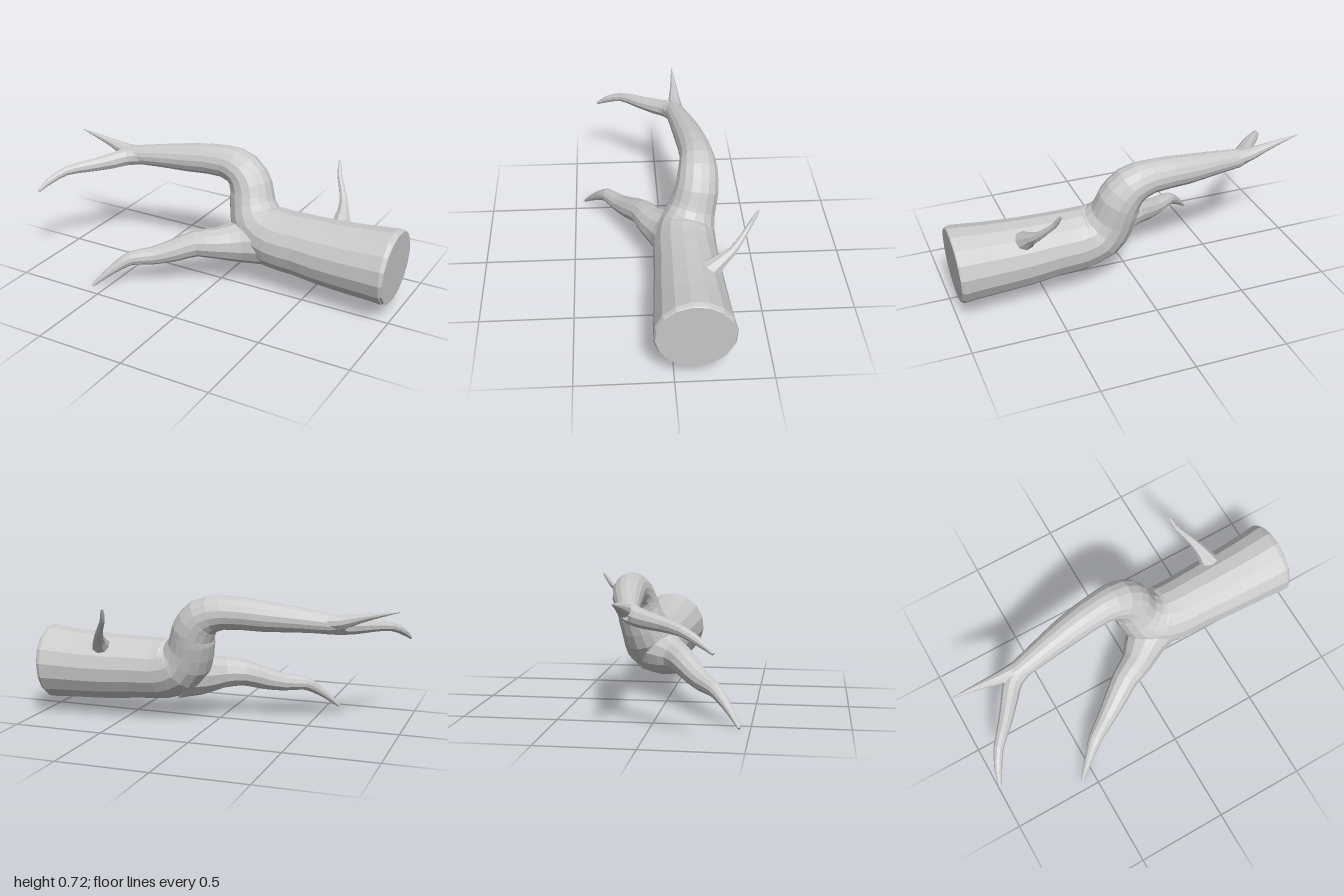
import * as THREE from 'three';

const material = new THREE.MeshStandardMaterial({ color: 0xcccccc, flatShading: true });

// Sweeps a closed tapering limb through stations [x, y, z, radius].
function limb(name, stations, sides, sub = 2) {
  const curve = new THREE.CatmullRomCurve3(stations.map(([x, y, z]) => new THREE.Vector3(x, y, z)));
  const steps = (stations.length - 1) * sub;
  const pos = [], index = [];
  const normal = new THREE.Vector3(0, 0.3, 1), binormal = new THREE.Vector3();
  for (let i = 0; i <= steps; i++) {
    const p = curve.getPoint(i / steps), t = curve.getTangent(i / steps);
    normal.addScaledVector(t, -normal.dot(t)).normalize(); // carry the frame along without twist
    binormal.crossVectors(t, normal);
    const k = Math.min(Math.floor(i / sub), stations.length - 2);
    const r = THREE.MathUtils.lerp(stations[k][3], stations[k + 1][3], i / sub - k);
    for (let j = 0; j < sides; j++) {
      const a = (j / sides) * Math.PI * 2;
      const v = p.clone().addScaledVector(normal, r * Math.cos(a)).addScaledVector(binormal, r * Math.sin(a));
      pos.push(v.x, v.y, v.z);
    }
  }
  const first = (steps + 1) * sides, last = first + 1, end = steps * sides;
  pos.push(...curve.getPoint(0).toArray(), ...curve.getPoint(1).toArray());
  for (let j = 0; j < sides; j++) {
    const n = (j + 1) % sides;
    for (let i = 0; i < steps; i++) {
      const a = i * sides + j, b = i * sides + n;
      index.push(a, b, a + sides, b, b + sides, a + sides);
    }
    index.push(first, n, j, last, end + j, end + n);
  }
  const geometry = new THREE.BufferGeometry();
  geometry.setAttribute('position', new THREE.Float32BufferAttribute(pos, 3));
  geometry.setIndex(index);
  geometry.computeVertexNormals();
  const mesh = new THREE.Mesh(geometry, material);
  mesh.name = name;
  return mesh;
}

export function createModel() {
  const group = new THREE.Group();
  group.name = 'branch';

  // Thick sawn trunk that bends upward, then runs out to the fork
  group.add(limb('trunk', [
    [0.985, 0.278, -0.102, 0.198], [0.965, 0.279, -0.102, 0.208], [0.8, 0.274, -0.1, 0.195],
    [0.6, 0.273, -0.1, 0.184], [0.45, 0.28, -0.1, 0.174], [0.3, 0.285, -0.1, 0.17],
    [0.18, 0.325, -0.115, 0.158], [0.115, 0.42, -0.15, 0.13], [0.09, 0.52, -0.175, 0.12],
    [0.03, 0.6, -0.185, 0.108], [-0.08, 0.632, -0.185, 0.091], [-0.3, 0.62, -0.16, 0.081],
    [-0.5, 0.605, -0.125, 0.064], [-0.64, 0.592, -0.1, 0.052], [-0.72, 0.59, -0.09, 0.03],
  ], 16));

  // Lower limb, flared where it leaves the trunk
  group.add(limb('lowerLimb', [
    [0.2, 0.265, -0.08, 0.145], [0.1, 0.25, -0.02, 0.118], [0, 0.248, 0.06, 0.087],
    [-0.1, 0.243, 0.11, 0.073], [-0.2, 0.205, 0.175, 0.063], [-0.3, 0.175, 0.24, 0.05],
    [-0.4, 0.162, 0.305, 0.039], [-0.45, 0.13, 0.345, 0.031], [-0.51, 0.075, 0.395, 0.02],
    [-0.573, 0.008, 0.445, 0.008],
  ], 12));

  // Two twigs of the far fork
  group.add(limb('straightTwig', [
    [-0.56, 0.595, -0.115, 0.05], [-0.7, 0.606, -0.108, 0.038], [-0.8, 0.632, -0.11, 0.024],
    [-0.9, 0.655, -0.11, 0.013], [-1, 0.676, -0.11, 0.002],
  ], 10));
  group.add(limb('droopingTwig', [
    [-0.58, 0.592, -0.11, 0.054], [-0.67, 0.58, -0.07, 0.051], [-0.73, 0.567, 0, 0.046],
    [-0.81, 0.557, 0.1, 0.036], [-0.9, 0.542, 0.2, 0.026], [-0.955, 0.5, 0.29, 0.02],
    [-0.985, 0.456, 0.352, 0.008],
  ], 10));

  // Thin shoot rising from the back of the trunk
  group.add(limb('shoot', [
    [0.628, 0.39, -0.19, 0.06], [0.607, 0.447, -0.262, 0.035], [0.585, 0.485, -0.315, 0.024],
    [0.55, 0.54, -0.365, 0.017], [0.517, 0.59, -0.405, 0.014], [0.504, 0.63, -0.43, 0.011],
    [0.495, 0.66, -0.448, 0.006],
  ], 8));
  return group;
}
